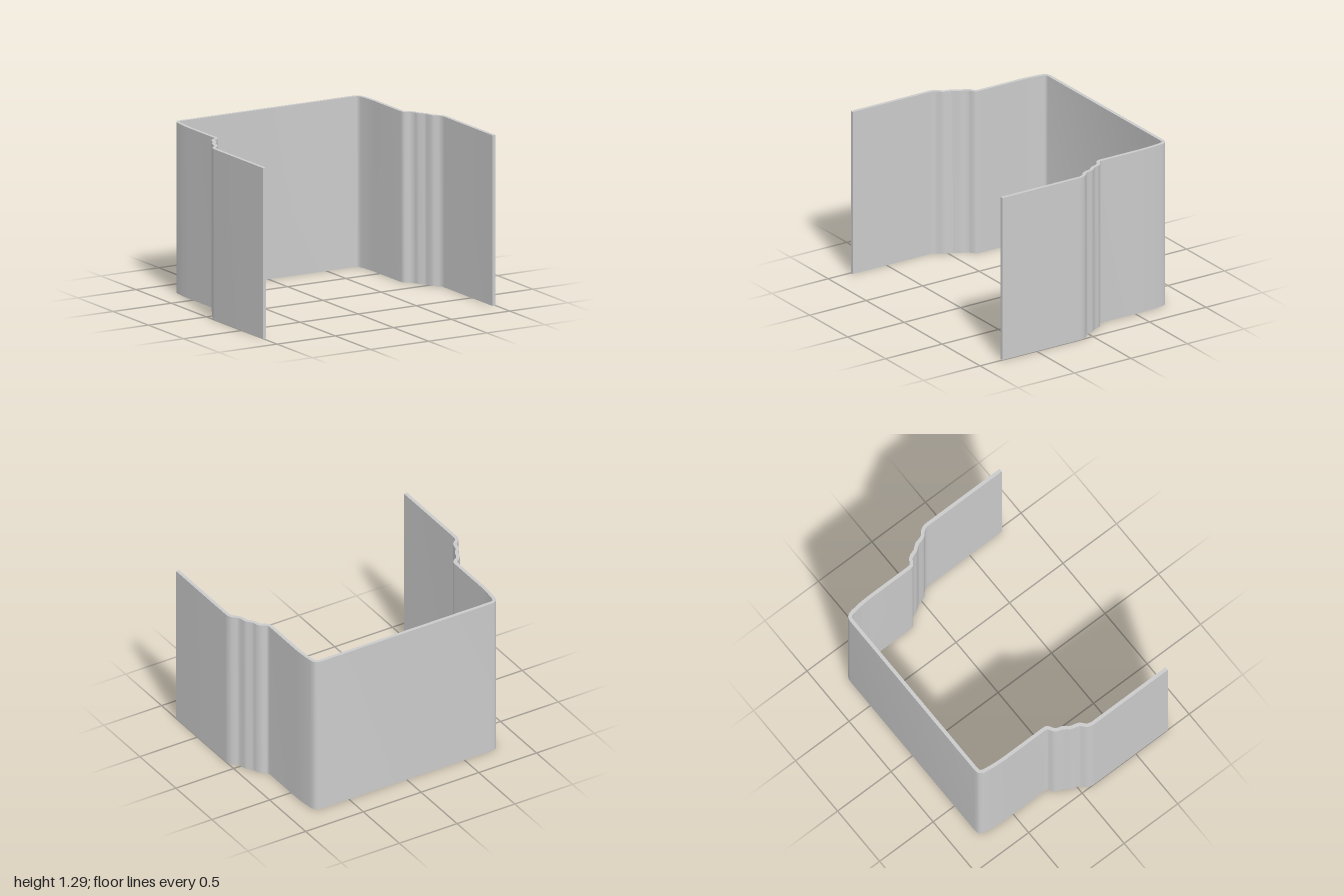
import * as THREE from 'three';
import { toCreasedNormals } from 'three/addons/utils/BufferGeometryUtils.js';

const HEIGHT = 1.29;
const THICKNESS = 0.027;

const v = (x, z) => new THREE.Vector2(x, z);

// Centre line of the left half of the sheet, from the open end to the back wall
function halfPath() {
  const ripple = new THREE.SplineCurve([
    v(0.987, 0.12), v(0.985, 0.095), v(0.974, 0.067), v(0.955, 0.047), v(0.934, 0.026),
    v(0.923, -0.005), v(0.914, -0.038), v(0.893, -0.066), v(0.877, -0.09), v(0.868, -0.12),
    v(0.85, -0.147), v(0.823, -0.164), v(0.806, -0.18), v(0.802, -0.21),
  ]).getPoints(52);
  const corner = new THREE.SplineCurve([
    v(0.802, -0.57), v(0.798, -0.65), v(0.789, -0.73), v(0.781, -0.763),
    v(0.766, -0.781), v(0.74, -0.787),
  ]).getPoints(24);
  return [v(0.987, 0.8), ...ripple, ...corner];
}

// Points pushed sideways from the path by a distance
function offsetPath(path, distance) {
  return path.map((p, i) => {
    const a = path[Math.max(i - 1, 0)];
    const b = path[Math.min(i + 1, path.length - 1)];
    const t = b.clone().sub(a).normalize();
    return v(p.x - t.y * distance, p.y + t.x * distance);
  });
}

export function createModel() {
  const group = new THREE.Group();
  group.name = 'bentSheet';

  // Mirror the half path to get the whole U-shaped strip
  const half = halfPath();
  const path = [...half, ...half.map((p) => v(-p.x, p.y)).reverse()];
  const outline = [
    ...offsetPath(path, THICKNESS / 2),
    ...offsetPath(path, -THICKNESS / 2).reverse(),
  ].map((p) => v(p.x, -p.y));

  // Extrude upwards, smooth across the bends and sharp at the edges
  const geometry = new THREE.ExtrudeGeometry(new THREE.Shape(outline), {
    depth: HEIGHT,
    bevelEnabled: false,
  });
  geometry.rotateX(-Math.PI / 2);

  const sheet = new THREE.Mesh(
    toCreasedNormals(geometry, 0.7),
    new THREE.MeshStandardMaterial({ color: 0xcccccc }),
  );
  sheet.name = 'rippledWall';
  group.add(sheet);
  return group;
}
